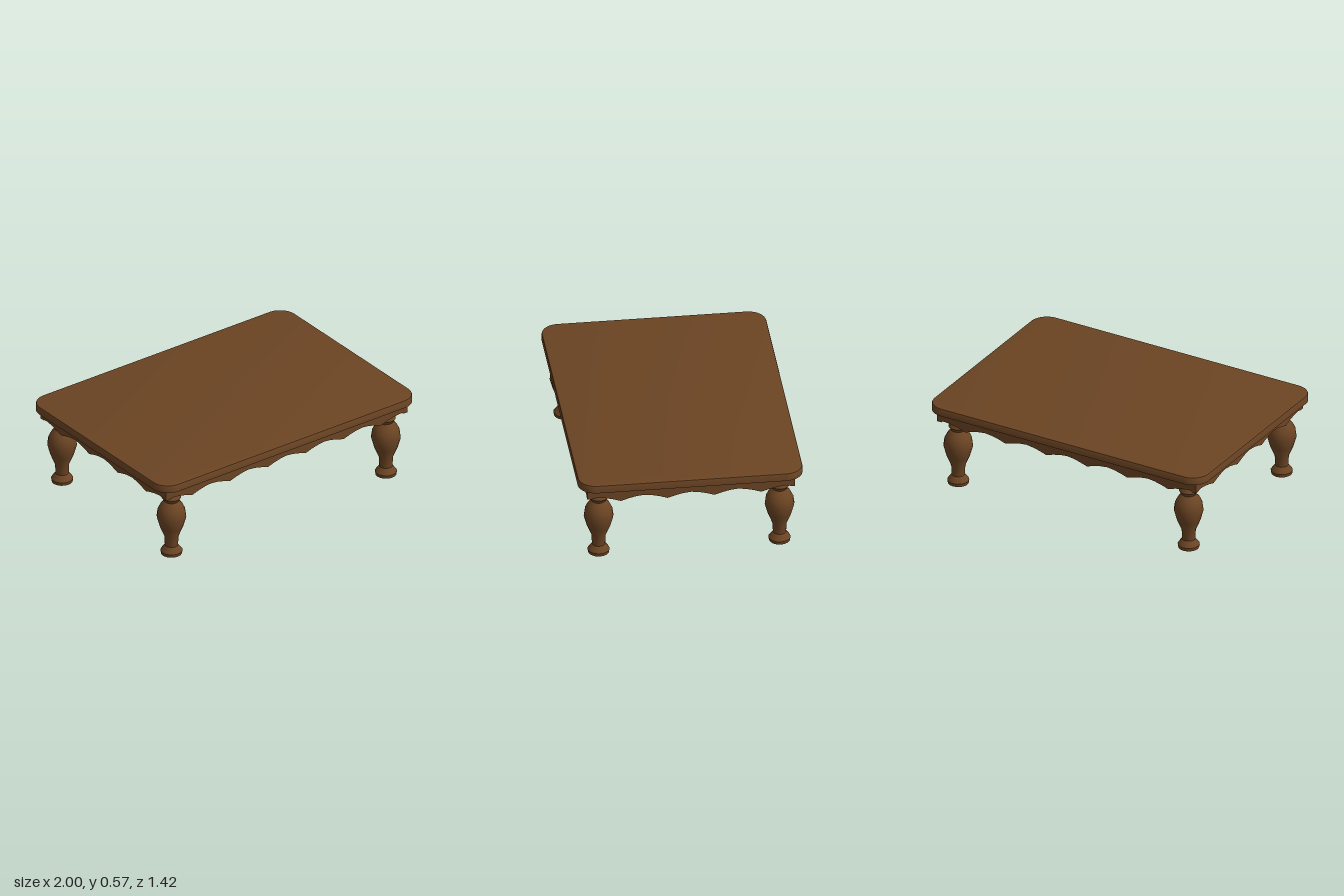
import * as THREE from 'three';
import { toCreasedNormals } from 'three/addons/utils/BufferGeometryUtils.js';

const wood = new THREE.MeshStandardMaterial({ color: 0x6b4423 });
wood.name = 'brown wood';
const darkWood = new THREE.MeshStandardMaterial({ color: 0x30240e });
darkWood.name = 'dark underside';

const TOP_Y = 0.52;

function add(parent, name, geometry, material) {
  const mesh = new THREE.Mesh(geometry, material);
  mesh.name = name;
  parent.add(mesh);
  return mesh;
}

function roundedRect(w, d, r) {
  const s = new THREE.Shape();
  s.absarc(w - r, d - r, r, 0, Math.PI / 2);
  s.absarc(-w + r, d - r, r, Math.PI / 2, Math.PI);
  s.absarc(-w + r, -d + r, r, Math.PI, Math.PI * 1.5);
  s.absarc(w - r, -d + r, r, Math.PI * 1.5, Math.PI * 2);
  s.closePath();
  return s;
}

// Slab with rounded corners, a softened top edge and a square bottom edge
function tabletopGeometry() {
  const bevel = 0.01;
  const geo = new THREE.ExtrudeGeometry(roundedRect(1, 0.71, 0.115), {
    depth: 0.042, bevelEnabled: true, bevelSize: bevel, bevelOffset: -bevel,
    bevelThickness: bevel, bevelSegments: 2, curveSegments: 8,
  });
  const p = geo.attributes.position;
  for (let i = 0; i < p.count; i++) p.setZ(i, Math.max(0, p.getZ(i)));
  geo.rotateX(-Math.PI / 2).translate(0, TOP_Y, 0);
  return toCreasedNormals(geo, 0.5);
}

// Board whose lower edge is a row of shallow arches, one centred on the middle
function apronGeometry(half, thickness) {
  const pitch = 0.296, low = 0.42, rise = 0.034, steps = 6;
  const edge = (x) => {
    const t = (x - pitch * Math.round(x / pitch)) / (pitch / 2);
    return low + rise * (1 - Math.pow(Math.abs(t), 1.6));
  };
  const s = new THREE.Shape();
  s.moveTo(-half, TOP_Y);
  s.lineTo(-half, edge(-half));
  const n = Math.floor(half / (pitch / steps));
  for (let i = -n; i <= n; i++) {
    const x = (i * pitch) / steps;
    s.lineTo(x, edge(x));
  }
  s.lineTo(half, edge(half));
  s.lineTo(half, TOP_Y);
  s.closePath();
  return new THREE.ExtrudeGeometry(s, { depth: thickness, bevelEnabled: false });
}

// Turned leg: foot, vase-shaped bulge, collar and flared head
function legGeometry() {
  const profile = [
    [0, 0], [0.066, 0], [0.07, 0.022], [0.064, 0.032], [0.042, 0.06],
    [0.045, 0.125], [0.074, 0.195], [0.094, 0.265], [0.087, 0.315],
    [0.07, 0.35], [0.046, 0.377], [0.048, 0.383], [0.062, 0.403],
    [0.047, 0.432], [0.054, 0.45], [0.056, TOP_Y],
  ].map(([r, y]) => new THREE.Vector2(r, y));
  return toCreasedNormals(new THREE.LatheGeometry(profile, 16), 0.62);
}

export function createModel() {
  const table = new THREE.Group();
  table.name = 'lowTable';

  // Tabletop and its dark underside
  add(table, 'tabletop', tabletopGeometry(), wood);
  const under = new THREE.ShapeGeometry(roundedRect(0.998, 0.708, 0.115), 8);
  under.rotateX(Math.PI / 2);
  add(table, 'underside', under, darkWood).position.y = TOP_Y - 0.002;

  // Scalloped aprons on all four sides
  const halfX = 0.945, halfZ = 0.657, thick = 0.033;
  const longApron = apronGeometry(halfX, thick);
  const shortApron = apronGeometry(halfZ, thick);
  const aprons = [
    ['frontApron', longApron, 0, halfZ], ['backApron', longApron, Math.PI, halfZ],
    ['leftApron', shortApron, Math.PI / 2, halfX], ['rightApron', shortApron, -Math.PI / 2, halfX],
  ];
  for (const [name, geo, angle, dist] of aprons) {
    const board = add(table, name, geo, wood);
    board.rotation.y = angle;
    board.position.set(Math.sin(angle) * (dist - thick), 0, Math.cos(angle) * (dist - thick));
  }

  // Four turned legs
  const leg = legGeometry();
  for (const x of [-1, 1]) {
    for (const z of [-1, 1]) {
      const name = (z > 0 ? 'front' : 'back') + (x > 0 ? 'Left' : 'Right') + 'Leg';
      add(table, name, leg, wood).position.set(x * 0.84, 0, z * 0.572);
    }
  }
  return table;
}
